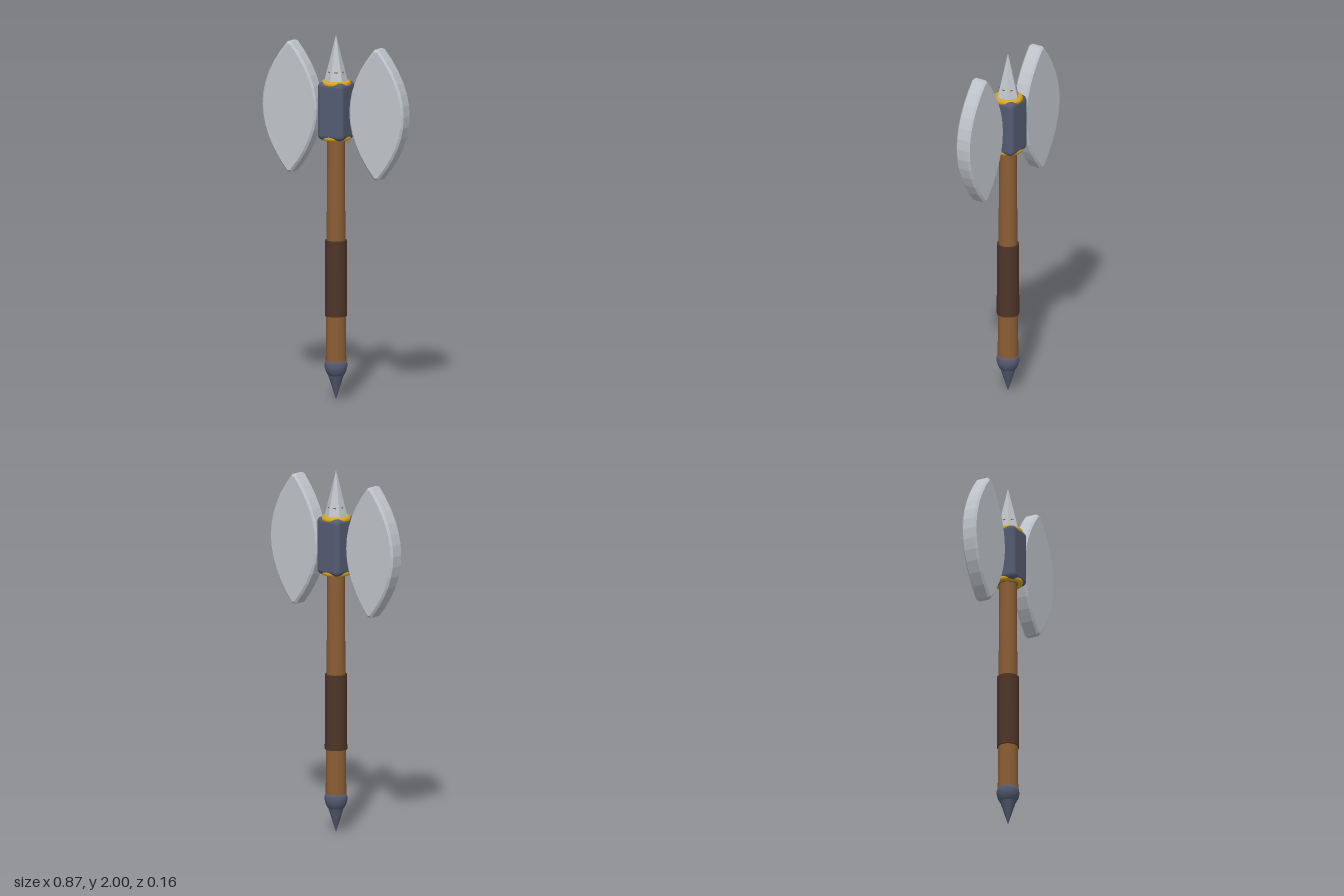
import * as THREE from 'three';
import { RoundedBoxGeometry } from 'three/addons/geometries/RoundedBoxGeometry.js';

const material = (name, color, extra = {}) => {
  const m = new THREE.MeshStandardMaterial({ color, ...extra });
  m.name = name;
  return m;
};

// Lens outline with small chopped tips, centred on the origin
function lensShape(halfWidth, halfHeight, tipHalfWidth, steps) {
  const points = [];
  for (const side of [1, -1]) {
    for (let i = 0; i <= steps; i++) {
      const t = (i / steps) * 2 - 1;
      const w = tipHalfWidth + (halfWidth - tipHalfWidth) * (1 - t * t);
      points.push(new THREE.Vector2(side * w, side * t * halfHeight));
    }
  }
  return new THREE.Shape(points);
}

export function createModel() {
  const steel = material('steel', 0xc0c5cb);
  const iron = material('dark iron', 0x555c72);
  const gold = material('gold', 0xdaa520);
  const wood = material('wood', 0x8b5e34);
  const leather = material('leather', 0x4f3428);

  const group = new THREE.Group();
  group.name = 'doubleAxe';
  const add = (name, geometry, mat, x = 0, y = 0, z = 0) => {
    const mesh = new THREE.Mesh(geometry, mat);
    mesh.name = name;
    mesh.position.set(x, y, z);
    group.add(mesh);
    return mesh;
  };

  // Tapered handle running up through the head
  add('shaft', new THREE.CylinderGeometry(0.045, 0.056, 1.6, 20), wood, 0, 1.0);
  add('grip', new THREE.CylinderGeometry(0.06, 0.061, 0.415, 20), leather, 0, 0.667);

  // Pommel bulb and its pointed end
  const bulb = [[0.035, 0.125], [0.047, 0.138], [0.057, 0.158], [0.062, 0.18],
    [0.061, 0.2], [0.056, 0.213], [0, 0.215]].map(([r, y]) => new THREE.Vector2(r, y));
  add('pommel', new THREE.LatheGeometry(bulb, 20), iron);
  add('pommelPoint', new THREE.ConeGeometry(0.046, 0.145, 20).rotateX(Math.PI), iron, 0, 0.0725);

  // Head block with a gold ring at each end
  add('headBlock', new RoundedBoxGeometry(0.16, 0.32, 0.16, 3, 0.03), iron, 0, 1.587);
  for (const [name, y] of [['upperRing', 1.735], ['lowerRing', 1.439]]) {
    add(name, new THREE.TorusGeometry(0.065, 0.017, 8, 24).rotateX(Math.PI / 2), gold, 0, y);
  }

  // Six-sided top spike
  const spike = new THREE.ConeGeometry(0.065, 0.26, 6).toNonIndexed();
  spike.computeVertexNormals();
  add('topSpike', spike, steel, 0, 1.87);

  // Bevelled blades on both sides
  const bevel = 0.011;
  const depth = 0.088 - bevel * 2;
  const blade = new THREE.ExtrudeGeometry(lensShape(0.168, 0.357, 0.013, 12), {
    depth, bevelEnabled: true, bevelThickness: bevel, bevelSize: bevel,
    bevelOffset: -bevel, bevelSegments: 1,
  });
  blade.translate(0, 0, -depth / 2);
  for (const [name, side] of [['leftBlade', 1], ['rightBlade', -1]]) {
    add(name, blade, steel, side * 0.269, 1.587);
  }
  return group;
}
